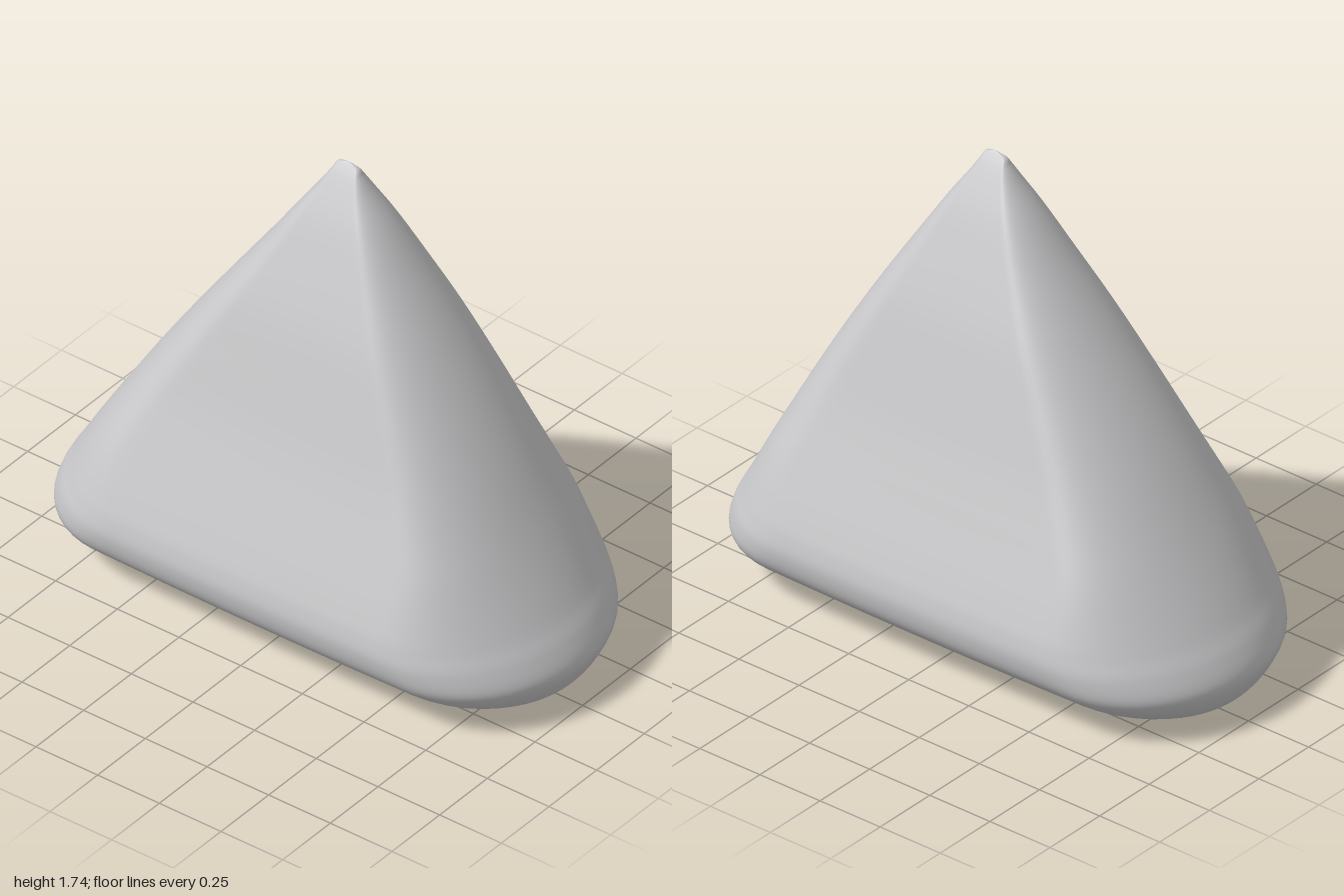
import * as THREE from 'three';
import { mergeVertices } from 'three/addons/utils/BufferGeometryUtils.js';

// Profile from the keel to the tip: half width, height, half depth
const PROFILE = [
  [0.84, 0, 0], [0.894, 0.01, 0.14], [0.943, 0.04, 0.271], [0.983, 0.1, 0.4],
  [1.0, 0.17, 0.474], [0.972, 0.25, 0.5], [0.93, 0.32, 0.495], [0.884, 0.4, 0.473],
  [0.767, 0.6, 0.407], [0.65, 0.8, 0.342], [0.526, 1.0, 0.285], [0.395, 1.2, 0.227],
  [0.26, 1.4, 0.156], [0.16, 1.55, 0.098], [0.09, 1.65, 0.051], [0.058, 1.7, 0.025],
  [0.042, 1.725, 0.01], [0, 1.74, 0],
];
const ROWS = 120, CAP = 24, FLAT = 24;

// One horizontal section: flat front and back joined by elliptical ends
function section(halfWidth, y, halfDepth) {
  const fade = 1 - THREE.MathUtils.smoothstep(y, 0.2, 0.6);
  const cap = Math.min((0.58 + 0.22 * fade) * halfDepth, halfWidth * 0.9);
  const flat = halfWidth - cap;
  const centre = 0.05 * THREE.MathUtils.smoothstep(y, 0.2, 1.6);
  const ring = [];
  for (const side of [1, -1]) {
    for (let i = 0; i < CAP; i++) {
      const a = (i / CAP - 0.5) * Math.PI;
      ring.push([side * (flat + cap * Math.cos(a)), side * halfDepth * Math.sin(a)]);
    }
    for (let i = 0; i < FLAT; i++) {
      ring.push([side * flat * (1 - 2 * i / FLAT), side * halfDepth]);
    }
  }
  // Slight bow of the long faces and of the underside
  const lift = 0.02 * Math.max(0, 1 - y / 0.25);
  return ring.map(([x, z]) => {
    const t = halfWidth > 0 ? (x / halfWidth) ** 2 : 0;
    return [x + centre, y + lift * t, z * (1 - 0.02 * t)];
  });
}

function wedgeGeometry() {
  const curve = new THREE.CatmullRomCurve3(PROFILE.map((p) => new THREE.Vector3(...p)));
  const n = 2 * (CAP + FLAT);
  const positions = [], index = [];
  for (let i = 0; i <= ROWS; i++) {
    const p = curve.getPoint(i / ROWS);
    for (const v of section(Math.max(0, p.x), Math.max(0, p.y), Math.max(0, p.z))) positions.push(...v);
    if (i === ROWS) break;
    for (let j = 0; j < n; j++) {
      const a = i * n + j, b = i * n + (j + 1) % n;
      index.push(a, a + n, b, b, a + n, b + n);
    }
  }
  const geometry = new THREE.BufferGeometry();
  geometry.setAttribute('position', new THREE.Float32BufferAttribute(positions, 3));
  geometry.setIndex(index);
  const merged = mergeVertices(geometry, 1e-5);
  merged.computeVertexNormals();
  return merged;
}

export function createModel() {
  const group = new THREE.Group();
  group.name = 'roundedWedge';
  const lightGrey = new THREE.MeshStandardMaterial({ color: 0xcac9cb });
  lightGrey.name = 'lightGrey';
  const body = new THREE.Mesh(wedgeGeometry(), lightGrey);
  body.name = 'wedgeBody';
  group.add(body);
  return group;
}
